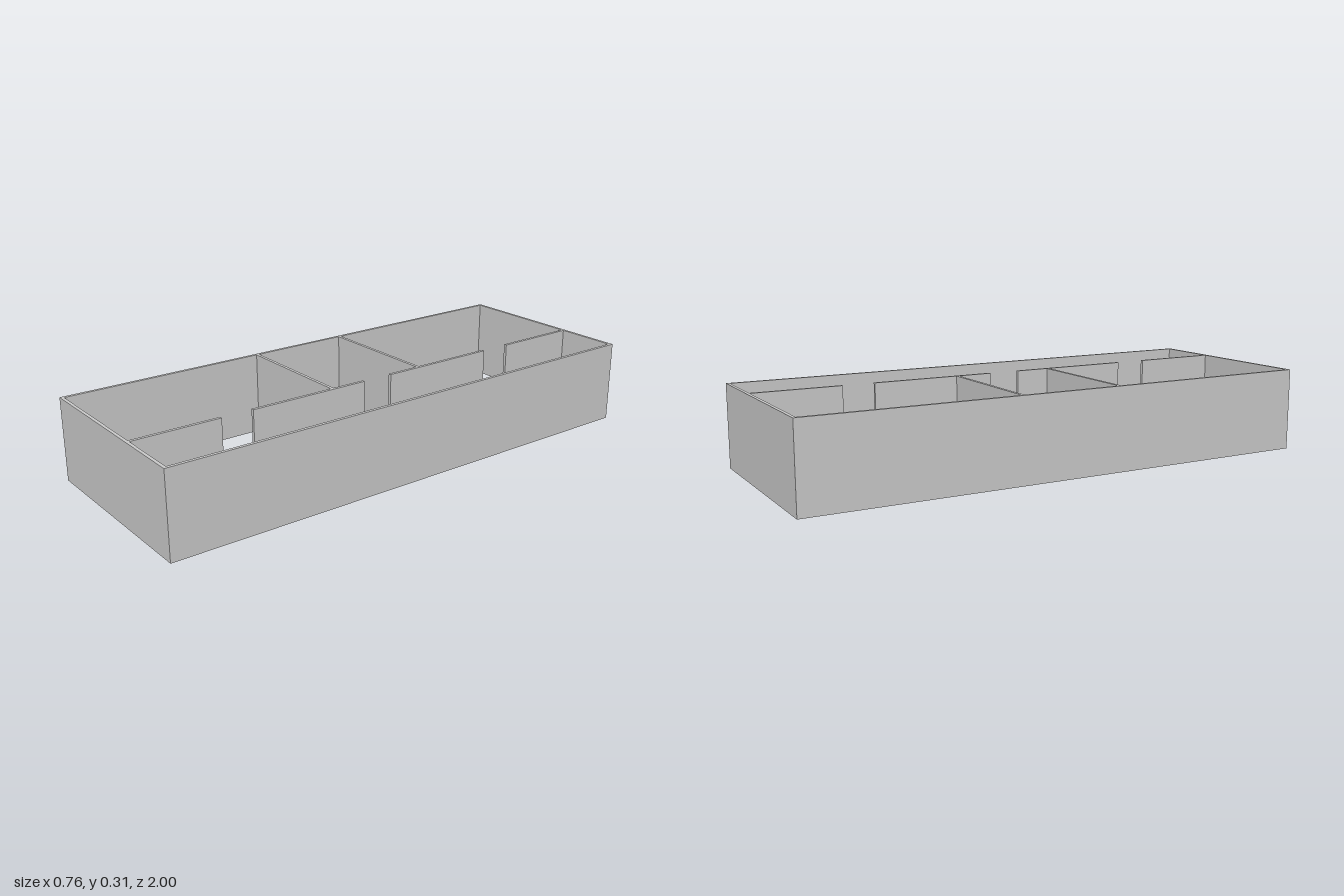
import * as THREE from 'three';

const HEIGHT = 0.315;
const THICK = 0.012;
const HALF_X = 0.38;
const HALF_Z = 1;
const CORRIDOR_X = 0.124; // centre line of the corridor partition

export function createModel() {
  const group = new THREE.Group();
  const material = new THREE.MeshStandardMaterial({ color: 0xcccccc, flatShading: true });

  // Full-height wall covering a rectangle of the floor plan
  function wall(name, x0, x1, z0, z1) {
    const mesh = new THREE.Mesh(new THREE.BoxGeometry(x1 - x0, HEIGHT, z1 - z0), material);
    mesh.position.set((x0 + x1) / 2, HEIGHT / 2, (z0 + z1) / 2);
    mesh.name = name;
    group.add(mesh);
  }

  // Outer walls: long sides run between the end walls
  const innerZ = HALF_Z - THICK;
  wall('leftOuterWall', HALF_X - THICK, HALF_X, -innerZ, innerZ);
  wall('rightOuterWall', -HALF_X, -HALF_X + THICK, -innerZ, innerZ);
  wall('frontOuterWall', -HALF_X, HALF_X, innerZ, HALF_Z);
  wall('backOuterWall', -HALF_X, HALF_X, -HALF_Z, -innerZ);

  // Corridor partition, broken by three full-height door openings
  const px0 = CORRIDOR_X - THICK / 2;
  const px1 = CORRIDOR_X + THICK / 2;
  const segments = [[-innerZ, -0.655], [-0.533, -0.061], [0.061, 0.533], [0.655, innerZ]];
  segments.forEach(([z0, z1], i) => wall(`corridorPartition${i + 1}`, px0, px1, z0, z1));

  // Cross walls dividing the three rooms
  for (const [name, z] of [['backRoomDivider', -0.199], ['frontRoomDivider', 0.197]]) {
    wall(name, -HALF_X + THICK, px0, z - THICK / 2, z + THICK / 2);
  }

  return group;
}
